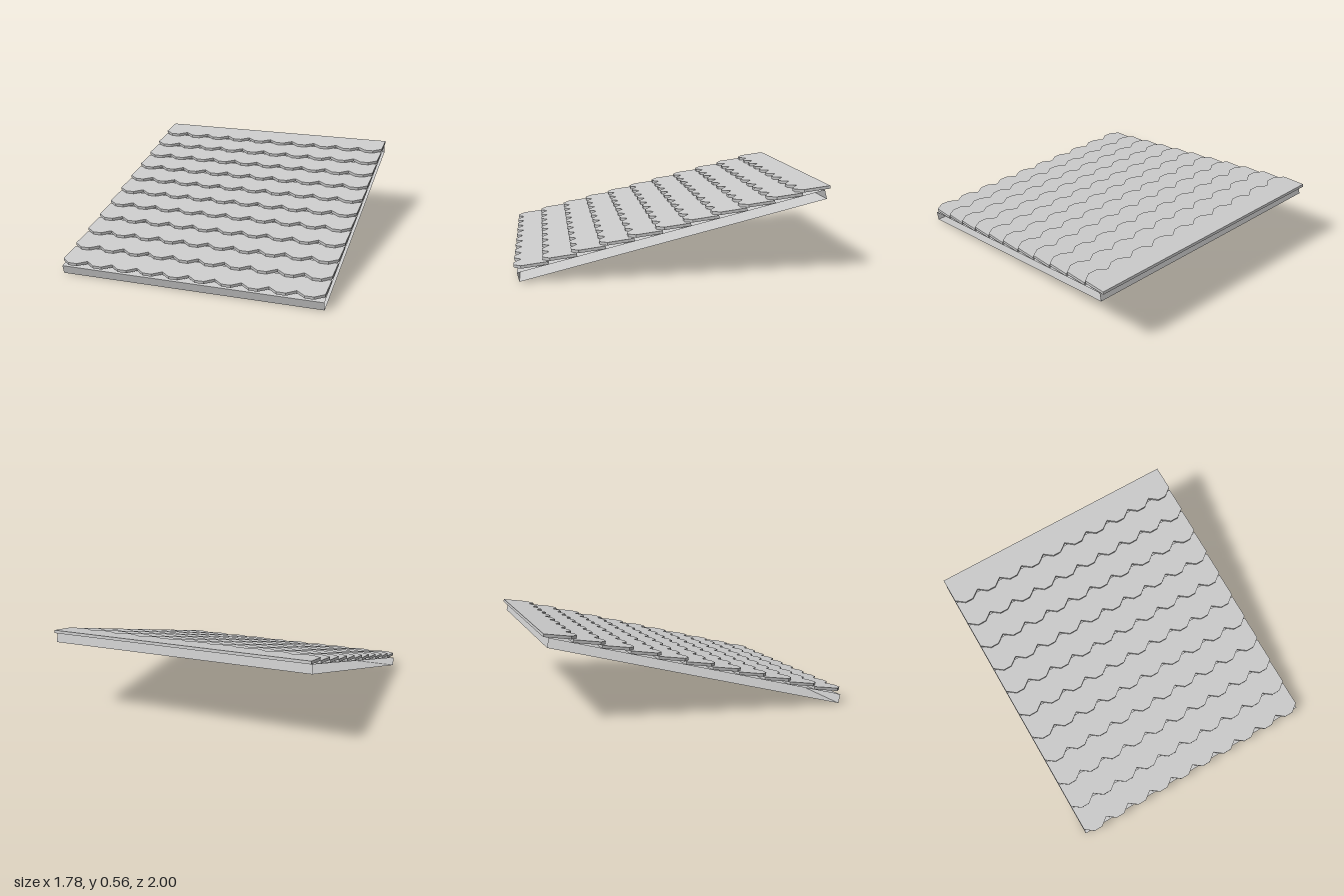
import * as THREE from 'three';

const WIDTH = 1.776;
const TILES = 10;        // scallops per row
const ROWS = 11;
const ROW_LENGTH = 0.215;
const THICKNESS = 0.019;
const SCALLOP = 0.045;   // depth of the notch between two tiles

// One row of tiles: straight back edge, front edge of chamfered tips.
function tileRowGeometry() {
  const pitch = WIDTH / TILES;
  const shape = new THREE.Shape();
  shape.moveTo(-WIDTH / 2, SCALLOP);
  for (let i = 0; i < TILES; i++) {
    const x = -WIDTH / 2 + i * pitch;
    shape.lineTo(x + pitch / 3, 0);
    shape.lineTo(x + pitch * 2 / 3, 0);
    shape.lineTo(x + pitch, SCALLOP);
  }
  shape.lineTo(WIDTH / 2, ROW_LENGTH);
  shape.lineTo(-WIDTH / 2, ROW_LENGTH);
  shape.closePath();
  const geometry = new THREE.ExtrudeGeometry(shape, { depth: THICKNESS, bevelEnabled: false });
  return geometry.rotateX(-Math.PI / 2); // lay flat, tips towards +z
}

export function createModel() {
  const model = new THREE.Group();
  model.name = 'tiledRoofPanel';
  const material = new THREE.MeshStandardMaterial({
    color: 0xcccccc, flatShading: true, side: THREE.DoubleSide,
  });

  // Sloping deck: a flat box sleeve, open at its two side ends.
  const deckGeometry = new THREE.BoxGeometry(WIDTH, 0.058, 2);
  deckGeometry.setIndex(Array.from(deckGeometry.index.array).slice(12));
  deckGeometry.clearGroups();
  const deck = new THREE.Mesh(deckGeometry, material);
  deck.name = 'roofDeck';
  deck.rotation.x = 0.24;
  deck.position.y = 0.266;
  model.add(deck);

  // Overlapping tile rows, each tilted less than the deck.
  const rows = new THREE.Group();
  rows.name = 'tileRows';
  const rowGeometry = tileRowGeometry();
  for (let i = 0; i < ROWS; i++) {
    const row = new THREE.Mesh(rowGeometry, material);
    row.name = `tileRow${i + 1}`;
    row.rotation.x = 0.13;
    row.position.set(0, 0.077 + i * 0.0437, 0.998 - i * 0.1785);
    rows.add(row);
  }
  model.add(rows);

  return model;
}
